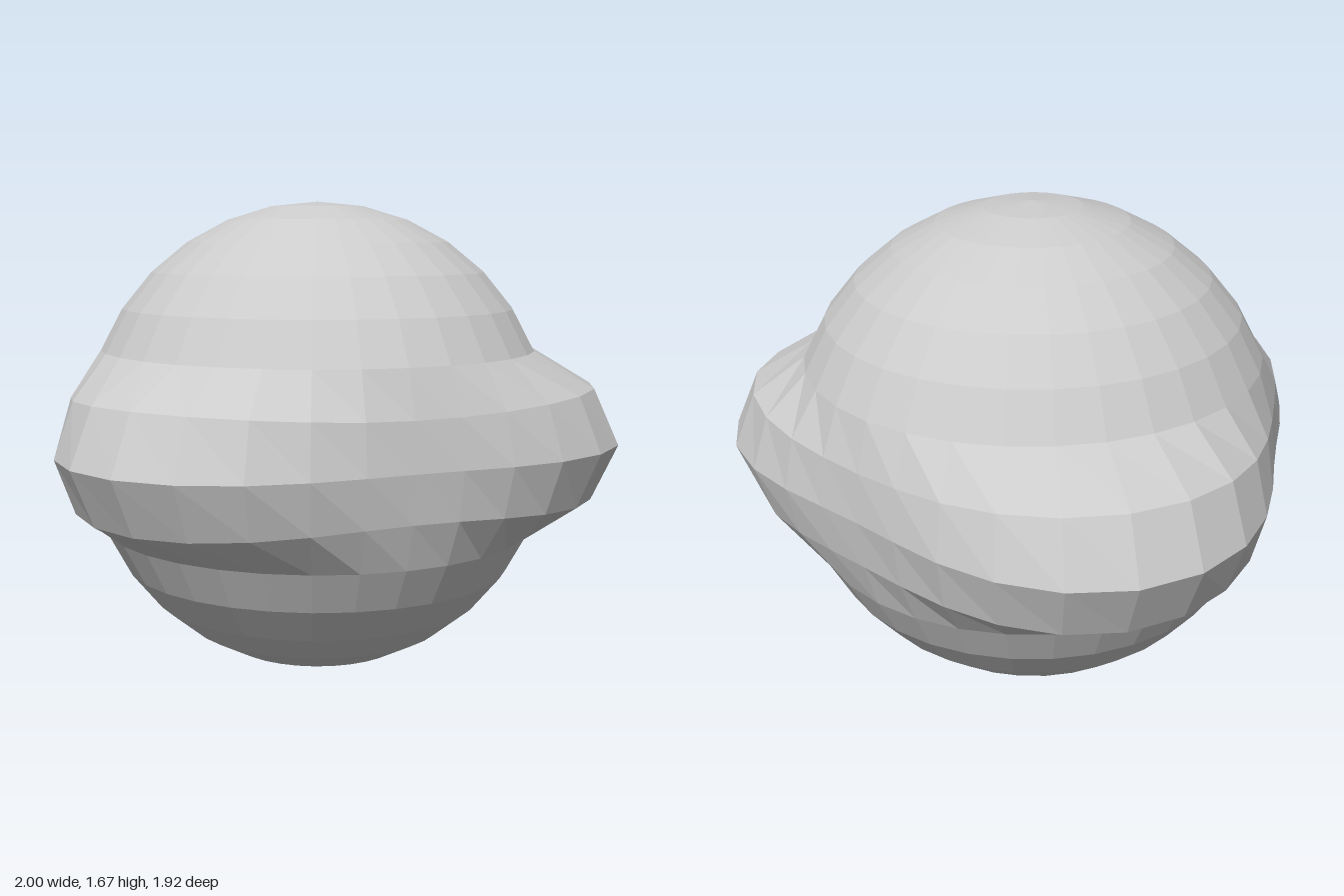
import * as THREE from 'three';

const RADIUS = 0.8335;
const SEGMENTS = 32;
const ROWS = 16;

// How far each row near the equator is pushed out at the peak of a lobe
const rowBulge = { 7: 0.167, 8: 0.237, 9: 0.167 };

// Three evenly spaced lobes around the vertical axis, 0 in a valley and 1 at a peak
const lobe = (x, z) => 0.5 + 0.5 * Math.cos(3 * (Math.atan2(x, z) + 0.035));

export function createModel() {
  const group = new THREE.Group();
  group.name = 'lobedBall';

  // Faceted ball whose equatorial rows swell radially into three lobes
  const sphere = new THREE.SphereGeometry(RADIUS, SEGMENTS, ROWS);
  const pos = sphere.attributes.position;
  const v = new THREE.Vector3();
  for (let i = 0; i < pos.count; i++) {
    const row = Math.floor(i / (SEGMENTS + 1));
    if (!rowBulge[row]) continue;
    v.fromBufferAttribute(pos, i);
    v.setLength(RADIUS + rowBulge[row] * lobe(v.x, v.z));
    pos.setXYZ(i, v.x, v.y, v.z);
  }
  const geometry = sphere.toNonIndexed();
  geometry.computeVertexNormals();

  const ball = new THREE.Mesh(
    geometry,
    new THREE.MeshStandardMaterial({ color: 0xcccccc, flatShading: true })
  );
  ball.name = 'ball';
  ball.position.set(-0.012, RADIUS, -0.11);
  group.add(ball);
  return group;
}
